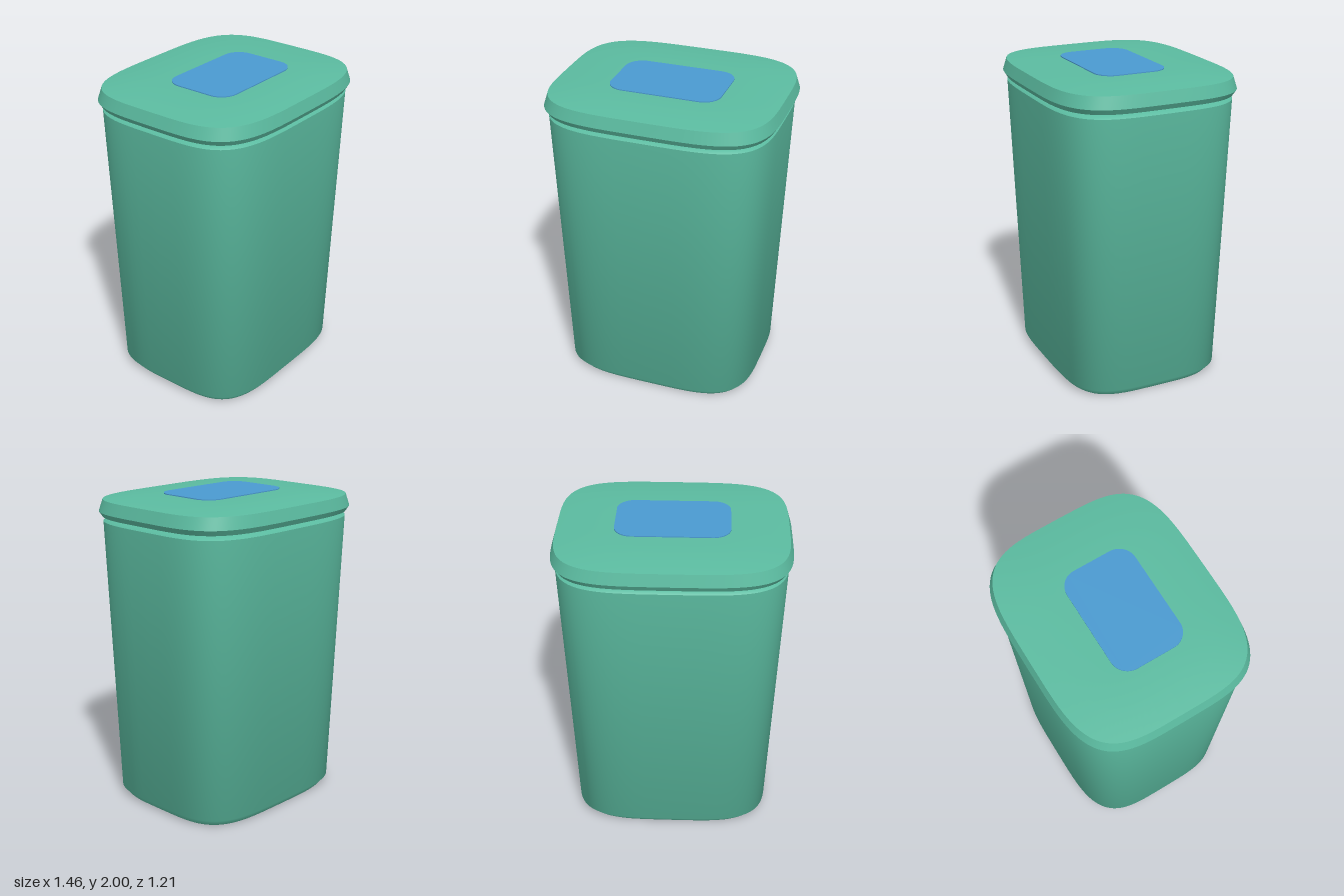
import * as THREE from 'three';
import { toCreasedNormals } from 'three/addons/utils/BufferGeometryUtils.js';

const SEGMENTS = 96;

// Point on a rounded-square outline with half sizes a (x) and b (z)
function outline(a, b, i) {
  const t = ((i % SEGMENTS) / SEGMENTS) * Math.PI * 2;
  const soft = (v) => Math.sign(v) * Math.sqrt(Math.abs(v));
  return [a * soft(Math.cos(t)), b * soft(Math.sin(t))];
}

// Closed loft through levels [halfX, halfZ, y], listed from bottom to top
function loft(levels, crease) {
  const positions = [];
  const indices = [];
  for (const [a, b, y] of levels) {
    for (let i = 0; i < SEGMENTS; i++) {
      const [x, z] = outline(a, b, i);
      positions.push(x, y, z);
    }
  }
  const top = (levels.length - 1) * SEGMENTS;
  const bottomCentre = positions.length / 3;
  positions.push(0, levels[0][2], 0, 0, levels[levels.length - 1][2], 0);
  for (let i = 0; i < SEGMENTS; i++) {
    const j = (i + 1) % SEGMENTS;
    for (let k = 0; k < levels.length - 1; k++) {
      const lo = k * SEGMENTS;
      const hi = lo + SEGMENTS;
      indices.push(lo + i, hi + i, lo + j, lo + j, hi + i, hi + j);
    }
    indices.push(bottomCentre, i, j, bottomCentre + 1, top + j, top + i);
  }
  const geometry = new THREE.BufferGeometry();
  geometry.setAttribute('position', new THREE.Float32BufferAttribute(positions, 3));
  geometry.setIndex(indices);
  return toCreasedNormals(geometry, crease);
}

// Flat rounded rectangle, lying in the xz plane
function roundedPlate(w, d, r, thickness) {
  const x = w / 2;
  const y = d / 2;
  const s = new THREE.Shape();
  s.absarc(x - r, y - r, r, 0, Math.PI / 2);
  s.absarc(-x + r, y - r, r, Math.PI / 2, Math.PI);
  s.absarc(-x + r, -y + r, r, Math.PI, Math.PI * 1.5);
  s.absarc(x - r, -y + r, r, Math.PI * 1.5, Math.PI * 2);
  return new THREE.ExtrudeGeometry(s, { depth: thickness, bevelEnabled: false, curveSegments: 12 })
    .rotateX(-Math.PI / 2);
}

export function createModel() {
  const green = new THREE.MeshStandardMaterial({ name: 'green plastic', color: 0x5bbba0 });
  const blue = new THREE.MeshStandardMaterial({ name: 'blue panel', color: 0x4a9ad0 });
  const model = new THREE.Group();
  model.name = 'lidded bin';

  const add = (name, geometry, material) => {
    const mesh = new THREE.Mesh(geometry, material);
    mesh.name = name;
    model.add(mesh);
    return mesh;
  };

  // Tapered container with a chamfered foot and rim
  add('container', loft([
    [0.6, 0.495, 0],
    [0.635, 0.53, 0.045],
    [0.705, 0.583, 1.833],
    [0.688, 0.566, 1.848],
  ], 0.78), green);

  // Overhanging lid with a gently domed top
  add('lid', loft([
    [0.708, 0.587, 1.862],
    [0.728, 0.605, 1.895],
    [0.706, 0.585, 1.97],
    [0.53, 0.44, 1.991],
    [0.35, 0.29, 1.994],
  ], 0.5), green);

  // Inset panel on the lid
  add('lidPanel', roundedPlate(0.704, 0.462, 0.11, 0.009), blue)
    .position.set(0, 1.991, 0.032);

  return model;
}
